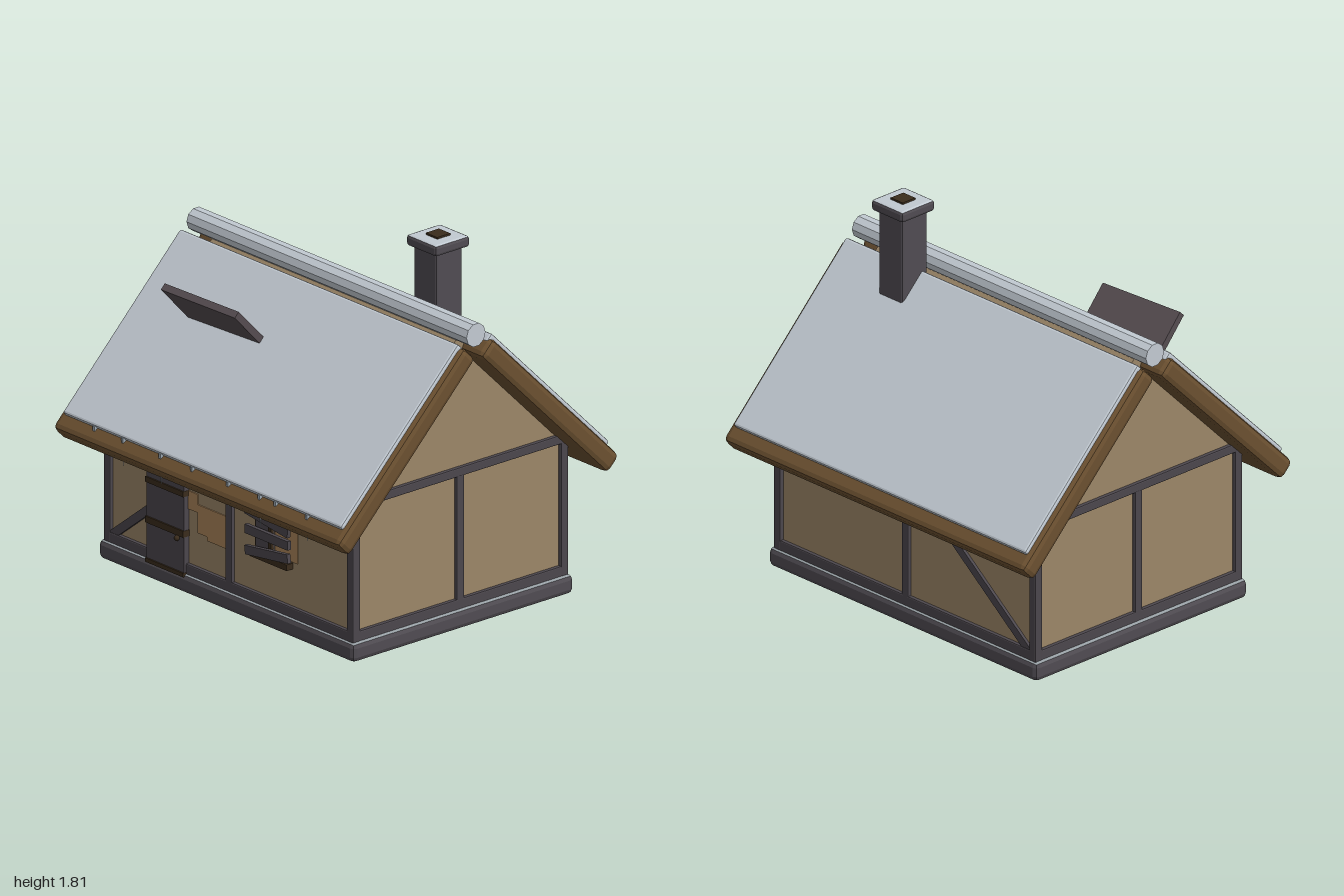
import * as THREE from 'three';
import { RoundedBoxGeometry } from 'three/addons/geometries/RoundedBoxGeometry.js';

function mat(name, color) {
  const m = new THREE.MeshStandardMaterial({ color });
  m.name = name;
  return m;
}

export function createModel() {
  const house = new THREE.Group();
  house.name = 'cottage';

  const plaster = mat('plaster', 0x9c8668);
  const bareClay = mat('bare clay', 0xab855a);
  const timber = mat('dark timber', 0x4c474d);
  const stone = mat('stone', 0x504c52);
  const frost = mat('frosted stone', 0x979fa4);
  const snow = mat('snow', 0xc2cad2);
  const roofWood = mat('roof wood', 0x6b5030);
  const darkWood = mat('dark brown wood', 0x3a2c1c);
  const boardWood = mat('loose board wood', 0x554c50);
  const ice = mat('ice', 0xa4b0ba);

  function add(name, geometry, material, x = 0, y = 0, z = 0, parent = house) {
    const mesh = new THREE.Mesh(geometry, material);
    mesh.name = name;
    mesh.position.set(x, y, z);
    parent.add(mesh);
    return mesh;
  }
  // Box given by its extents on each axis
  function box(name, material, x0, x1, y0, y1, z0, z1, parent) {
    return add(name, new THREE.BoxGeometry(x1 - x0, y1 - y0, z1 - z0), material,
      (x0 + x1) / 2, (y0 + y1) / 2, (z0 + z1) / 2, parent);
  }
  // Box with flat chamfered edges
  function chamfered(w, h, d, r) {
    const g = new RoundedBoxGeometry(w, h, d, 1, r);
    g.computeVertexNormals();
    return g;
  }
  // Six face materials with a different one on top
  const topped = (side, top) => [side, side, top, side, side, side];

  // Stone footing
  add('foundation', chamfered(1.78, 0.095, 1.35, 0.025), topped(stone, frost), 0, 0.0475, 0);

  // House body: one prism with both gables
  const outline = new THREE.Shape([
    new THREE.Vector2(-0.64, 0.08), new THREE.Vector2(0.64, 0.08),
    new THREE.Vector2(0.64, 0.78), new THREE.Vector2(0, 1.43), new THREE.Vector2(-0.64, 0.78),
  ]);
  const bodyGeo = new THREE.ExtrudeGeometry(outline, { depth: 1.7, bevelEnabled: false });
  bodyGeo.translate(0, 0, -0.85).rotateY(Math.PI / 2);
  add('walls', bodyGeo, plaster);

  // Timber frame, mirrored front/back and left/right
  for (const s of [-1, 1]) {
    for (const t of [-1, 1]) {
      add('cornerPost', chamfered(0.045, 0.68, 0.045, 0.006), timber, s * 0.847, 0.43, t * 0.637);
    }
    add('longSill', chamfered(1.7, 0.055, 0.04, 0.006), timber, 0, 0.115, s * 0.638);
    add('longTopBeam', chamfered(1.7, 0.045, 0.04, 0.006), timber, 0, 0.745, s * 0.638);
    add('longMiddlePost', chamfered(0.045, 0.65, 0.04, 0.006), timber, 0, 0.43, s * 0.638);
    add('gableSill', chamfered(0.04, 0.055, 1.28, 0.006), timber, s * 0.848, 0.115, 0);
    add('gableTopBeam', chamfered(0.04, 0.045, 1.31, 0.006), timber, s * 0.848, 0.768, 0);
    add('gableMiddlePost', chamfered(0.04, 0.65, 0.045, 0.006), timber, s * 0.848, 0.43, 0);
    const brace = add('diagonalBrace', new THREE.BoxGeometry(1.0, 0.042, 0.03), timber,
      -0.43, 0.435, s * 0.64);
    brace.rotation.z = Math.atan2(0.62, 0.79);
  }

  // Roof slopes at 45 degrees: wooden slab with a snow layer on top
  for (const s of [-1, 1]) {
    const slope = new THREE.Group();
    slope.name = s > 0 ? 'frontRoof' : 'backRoof';
    slope.position.set(0, 1.015, s * 0.44);
    slope.rotation.x = s * Math.PI / 4;
    house.add(slope);
    add('roofSlab', chamfered(2, 0.105, 1.1, 0.028), roofWood, 0, 0, 0, slope);
    add('roofSnow', chamfered(1.94, 0.05, 1.02, 0.012), snow, 0, 0.048, -s * 0.04, slope);
  }
  const ridgeGeo = new THREE.CylinderGeometry(0.058, 0.058, 1.95, 10).toNonIndexed();
  ridgeGeo.computeVertexNormals();
  ridgeGeo.rotateZ(Math.PI / 2);
  add('ridgeRoll', ridgeGeo, snow, 0, 1.475, 0);

  // Icicles along the front eave
  [-0.75, -0.55, -0.29, -0.07, 0.18, 0.4, 0.51, 0.73].forEach((x, i) => {
    const len = 0.12 + 0.02 * (i % 3);
    const g = new THREE.ConeGeometry(0.013, len, 5).toNonIndexed();
    g.computeVertexNormals();
    g.rotateX(Math.PI);
    add('icicle', g, ice, x, 0.73 - len / 2, 0.815);
  });

  // Chimney
  add('chimneyStack', chamfered(0.16, 0.65, 0.16, 0.012), stone, 0.54, 1.435, -0.15);
  add('chimneyCap', chamfered(0.21, 0.055, 0.21, 0.015), topped(stone, snow), 0.54, 1.775, -0.15);
  box('chimneyMouth', darkWood, 0.5, 0.58, 1.803, 1.812, -0.19, -0.11);

  // Loose board sticking out of the front roof
  const along = new THREE.Vector3(0.485, -0.005, -0.027).normalize();
  const up = new THREE.Vector3(0.025, 0.2, 0.19).normalize();
  const out = new THREE.Vector3().crossVectors(along, up).normalize();
  up.crossVectors(out, along);
  const board = add('looseRoofBoard', new THREE.BoxGeometry(0.485, 0.27, 0.035), boardWood);
  board.quaternion.setFromRotationMatrix(new THREE.Matrix4().makeBasis(along, up, out));
  board.position.set(-0.365, 1.288, 0.425);

  // Patches where the plaster has fallen off
  for (const [x0, x1, y0, y1] of [
    [-0.17, -0.022, 0.53, 0.7], [0.022, 0.075, 0.53, 0.7],
    [-0.3, -0.23, 0.41, 0.5], [-0.23, -0.022, 0.31, 0.45], [-0.165, -0.022, 0.29, 0.31],
    [0.17, 0.465, 0.36, 0.53],
  ]) box('clayPatch', bareClay, x0, x1, y0, y1, 0.638, 0.645);

  // Door with straps, lintel and knob
  const door = new THREE.Group();
  door.name = 'door';
  house.add(door);
  box('doorLeaf', timber, -0.557, -0.295, 0.085, 0.6, 0.63, 0.67, door);
  for (const [y0, y1] of [[0.08, 0.1], [0.275, 0.307], [0.475, 0.502]]) {
    box('doorStrap', darkWood, -0.559, -0.293, y0, y1, 0.64, 0.677, door);
  }
  box('doorLintel', darkWood, -0.6, -0.26, 0.55, 0.61, 0.62, 0.685, door);
  add('doorKnob', new THREE.SphereGeometry(0.014, 8, 6), darkWood, -0.333, 0.264, 0.682, door);

  // Boarded-up window
  const win = new THREE.Group();
  win.name = 'window';
  house.add(win);
  box('windowSill', darkWood, 0.17, 0.43, 0.325, 0.355, 0.63, 0.68, win);
  box('windowHead', darkWood, 0.17, 0.43, 0.57, 0.6, 0.63, 0.68, win);
  box('windowShutter', timber, 0.19, 0.31, 0.35, 0.575, 0.64, 0.66, win);
  box('windowBar', darkWood, 0.29, 0.31, 0.35, 0.575, 0.64, 0.67, win);
  for (const [y, tilt] of [[0.535, -0.13], [0.457, 0], [0.372, 0.13]]) {
    const plank = add('windowPlank', new THREE.BoxGeometry(0.3, 0.044, 0.02), timber, 0.3, y, 0.682, win);
    plank.rotation.z = tilt;
  }

  return house;
}
